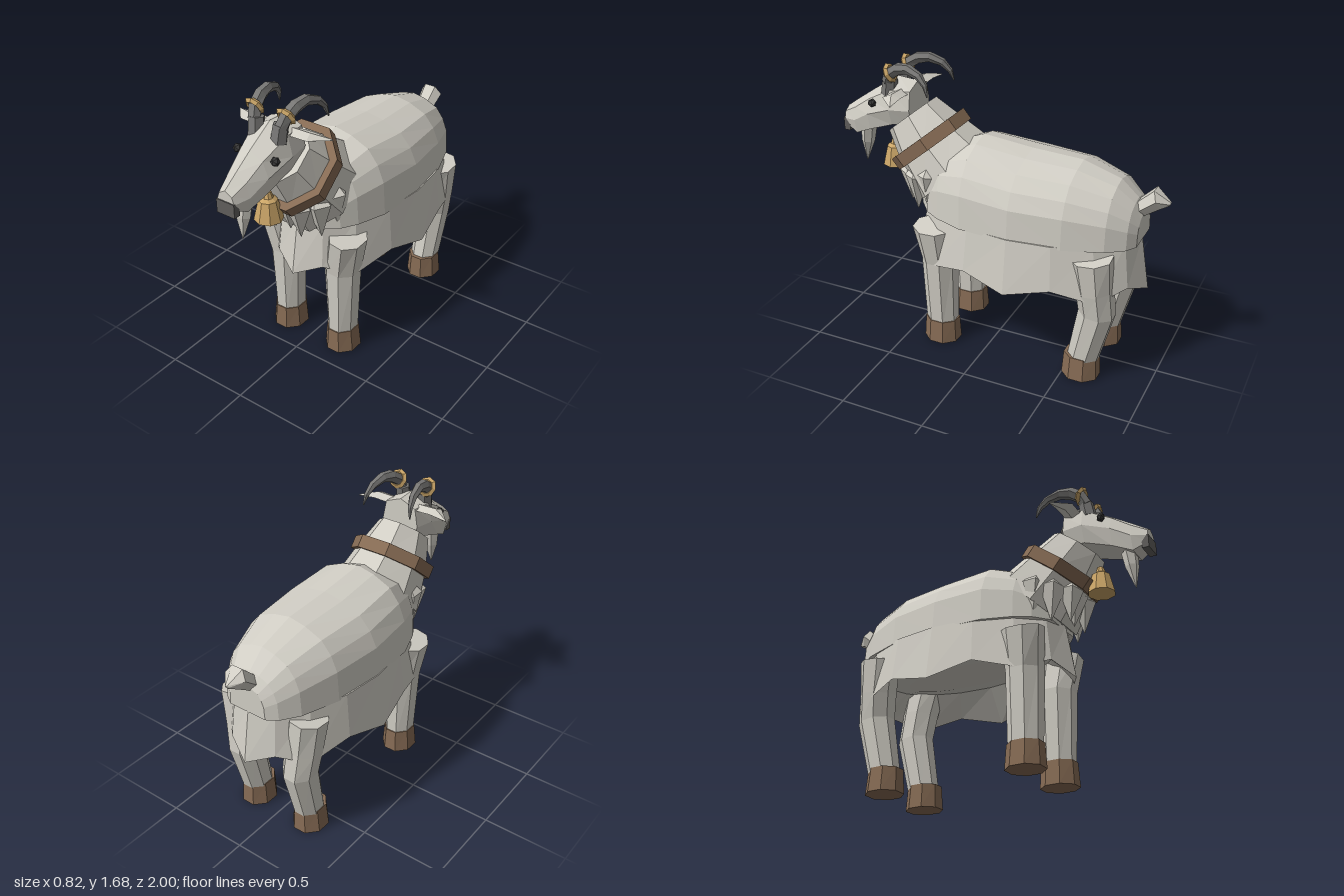
import * as THREE from 'three';

const paint = (name, color) => {
  const m = new THREE.MeshStandardMaterial({ color, flatShading: true });
  m.name = name;
  return m;
};

// Skin a list of equal-length rings (counter-clockwise about the direction of travel), capping both ends.
function loft(rings) {
  const pos = [], n = rings[0].length, last = rings[rings.length - 1];
  const tri = (...pts) => pts.forEach(p => pos.push(p.x, p.y, p.z));
  for (let i = 0; i + 1 < rings.length; i++) {
    const a = rings[i], b = rings[i + 1];
    for (let j = 0; j < n; j++) {
      const k = (j + 1) % n;
      tri(a[j], a[k], b[k]);
      tri(a[j], b[k], b[j]);
    }
  }
  for (let j = 1; j + 1 < n; j++) {
    tri(rings[0][0], rings[0][j + 1], rings[0][j]);
    tri(last[0], last[j], last[j + 1]);
  }
  const g = new THREE.BufferGeometry();
  g.setAttribute('position', new THREE.Float32BufferAttribute(pos, 3));
  g.computeVertexNormals();
  return g;
}

// Sweep an oval along a path of [x, y, z, radiusU, radiusV]; flat = true turns a flat side outward.
function sweep(path, sides, flat = false) {
  const c = path.map(p => new THREE.Vector3(p[0], p[1], p[2]));
  const grow = flat ? 1 / Math.cos(Math.PI / sides) : 1;
  return loft(path.map(([, , , ru, rv = ru], i) => {
    const t = c[Math.min(i + 1, c.length - 1)].clone().sub(c[Math.max(i - 1, 0)]).normalize();
    const u = Math.abs(t.x) > 0.8 ? new THREE.Vector3(0, 0, 1) : new THREE.Vector3(1, 0, 0);
    u.addScaledVector(t, -u.dot(t)).normalize();
    const v = t.clone().cross(u);
    return Array.from({ length: sides }, (_, j) => {
      const a = (j + (flat ? 0.5 : 0)) / sides * Math.PI * 2;
      return c[i].clone().addScaledVector(u, Math.cos(a) * ru * grow).addScaledVector(v, Math.sin(a) * rv * grow);
    });
  }));
}

// Mirrored cross-section at z from the right half, listed bottom to top, ending on the centre line.
function section(z, half) {
  const left = half.slice(0, -1).reverse().map(([x, y]) => [-x, y]);
  return [...half, ...left].map(([x, y]) => new THREE.Vector3(x, y, z));
}

export function createModel() {
  const goat = new THREE.Group();
  goat.name = 'goat';
  const wool = paint('wool', 0xd0cdc4), horn = paint('horn', 0x777674), nose = paint('nose', 0x605e5c);
  const brown = paint('brown', 0x866b54), gold = paint('gold', 0xcba668), eye = paint('eye', 0x3a3a3a);
  const add = (name, geometry, material) => {
    const m = new THREE.Mesh(geometry, material);
    m.name = name;
    goat.add(m);
    return m;
  };
  const lathe = (pts, sides, start = 0) =>
    new THREE.LatheGeometry(pts.map(p => new THREE.Vector2(...p)), sides, start);

  // Trunk: stations of z, half width, back height
  const trunk = [
    [-0.86, 0.12, 1.02], [-0.82, 0.18, 1.09], [-0.72, 0.25, 1.18], [-0.5, 0.325, 1.25], [-0.2, 0.362, 1.265],
    [0.1, 0.34, 1.295], [0.27, 0.28, 1.23], [0.36, 0.225, 1.14], [0.44, 0.13, 1.0],
  ];
  add('trunk', loft(trunk.map(([z, w, top]) => {
    const rib = [[1, 0], [0.96, 0.44], [0.84, 0.66], [0.65, 0.84], [0.32, 0.95], [0, 1]];
    return section(z, rib.map(([x, h]) => [x * w, 0.85 + h * (top - 0.85)]));
  })), wool);

  // Shaggy skirt with a zigzag hem, closed by a raised belly
  const hoop = (rx, rz, yTip, yGap, inset) => Array.from({ length: 16 }, (_, j) => {
    const a = j / 16 * Math.PI * 2, k = j % 2 ? inset : 1;
    return new THREE.Vector3(rx * k * Math.sin(a), j % 2 ? yGap : yTip, -0.2 + rz * k * Math.cos(a));
  });
  add('skirt', loft([
    hoop(0.15, 0.4, 0.7, 0.7, 1), hoop(0.28, 0.54, 0.73, 0.73, 1),
    hoop(0.41, 0.71, 0.54, 0.605, 0.97), hoop(0.366, 0.655, 0.865, 0.865, 1),
  ]), wool);

  // Neck, head and tail
  add('neck', sweep([[0, 1.03, 0.28, 0.24, 0.27], [0, 1.2, 0.445, 0.195, 0.215], [0, 1.34, 0.56, 0.14, 0.165]], 8, true), wool);
  add('head', loft([
    section(0.515, [[0.09, 1.31], [0.12, 1.4], [0.1, 1.51], [0, 1.55]]),
    section(0.64, [[0.105, 1.295], [0.138, 1.395], [0.11, 1.505], [0, 1.56]]),
    section(0.8, [[0.09, 1.235], [0.112, 1.335], [0.08, 1.42], [0, 1.46]]),
    section(0.91, [[0.065, 1.185], [0.085, 1.27], [0.063, 1.345], [0, 1.385]]),
    section(0.995, [[0.045, 1.225], [0.055, 1.26], [0.042, 1.3], [0, 1.325]]),
  ]), wool);
  add('nose', new THREE.BoxGeometry(0.114, 0.078, 0.04), nose).position.set(0, 1.226, 0.981);
  add('beard', sweep([[0, 1.21, 0.865, 0.055, 0.045], [0, 1.12, 0.875, 0.045, 0.038], [0, 0.99, 0.89, 0.003]], 6), wool);
  add('tail', sweep([[0, 1.01, -0.81, 0.055, 0.045], [0, 1.11, -0.93, 0.07, 0.062], [0, 1.085, -0.995, 0.012]], 6), wool);

  // Collar and bell
  const collar = add('collar', lathe([[0.222, -0.038], [0.27, -0.038], [0.27, 0.038], [0.222, 0.038], [0.222, -0.038]], 8, Math.PI / 8), brown);
  collar.position.set(0, 1.2, 0.445);
  collar.rotation.x = 0.694;
  collar.scale.x = 0.91;
  add('bell', lathe([[0, 0], [0.08, 0], [0.052, 0.115], [0.03, 0.13], [0.018, 0.165], [0, 0.165]], 8), gold)
    .position.set(0, 1.005, 0.685);

  // Chest tufts: pointed locks hanging from x, y, z with a length and radius
  const tuft = (x, y, z, len, r) =>
    add('chestTuft', sweep([[x * 0.8, y + 0.07, z, 0.01], [x, y - 0.03, z, r], [x * 1.1, y - len, z, 0.003]], 5), wool);
  tuft(0, 1.05, 0.51, 0.2, 0.085);

  for (const s of [1, -1]) {
    tuft(s * 0.08, 1.05, 0.53, 0.21, 0.075);
    tuft(s * 0.15, 1.06, 0.45, 0.23, 0.08);
    tuft(s * 0.19, 1.09, 0.36, 0.22, 0.07);

    add('eye', new THREE.IcosahedronGeometry(0.026, 0), eye).position.set(s * 0.122, 1.415, 0.755);
    add('ear', sweep([
      [s * 0.08, 1.495, 0.575, 0.05, 0.022], [s * 0.2, 1.5, 0.575, 0.052, 0.02], [s * 0.3, 1.49, 0.525, 0.004],
    ], 4), wool);

    // Horn with its base and ring
    add('hornBase', sweep([[s * 0.072, 1.47, 0.665, 0.047], [s * 0.078, 1.565, 0.65, 0.043]], 6), horn);
    add('horn', sweep([
      [s * 0.085, 1.55, 0.66, 0.036], [s * 0.1, 1.605, 0.632, 0.038], [s * 0.113, 1.642, 0.575, 0.036],
      [s * 0.123, 1.653, 0.505, 0.03], [s * 0.138, 1.627, 0.43, 0.024], [s * 0.15, 1.58, 0.387, 0.016], [s * 0.16, 1.52, 0.37, 0.004],
    ], 6), horn);
    const ring = add('hornRing', new THREE.TorusGeometry(0.043, 0.016, 4, 8), gold);
    ring.position.set(s * 0.1, 1.607, 0.635);
    ring.rotation.x = 0.48;

    // Legs and hooves
    add('frontLeg', sweep([
      [s * 0.24, 0.78, 0.31, 0.095, 0.12], [s * 0.195, 0.55, 0.3, 0.098, 0.1], [s * 0.193, 0.1, 0.295, 0.078, 0.09],
    ], 8, true), wool);
    add('hindLeg', sweep([
      [s * 0.24, 0.8, -0.65, 0.095, 0.115], [s * 0.215, 0.6, -0.67, 0.098, 0.1],
      [s * 0.197, 0.44, -0.685, 0.092, 0.1], [s * 0.193, 0.1, -0.61, 0.078, 0.085],
    ], 8, true), wool);
    for (const [name, z] of [['frontHoof', 0.295], ['hindHoof', -0.605]]) {
      add(name, sweep([[s * 0.195, 0, z, 0.096, 0.105], [s * 0.193, 0.14, z, 0.084, 0.097]], 8, true), brown);
    }
  }
  return goat;
}
